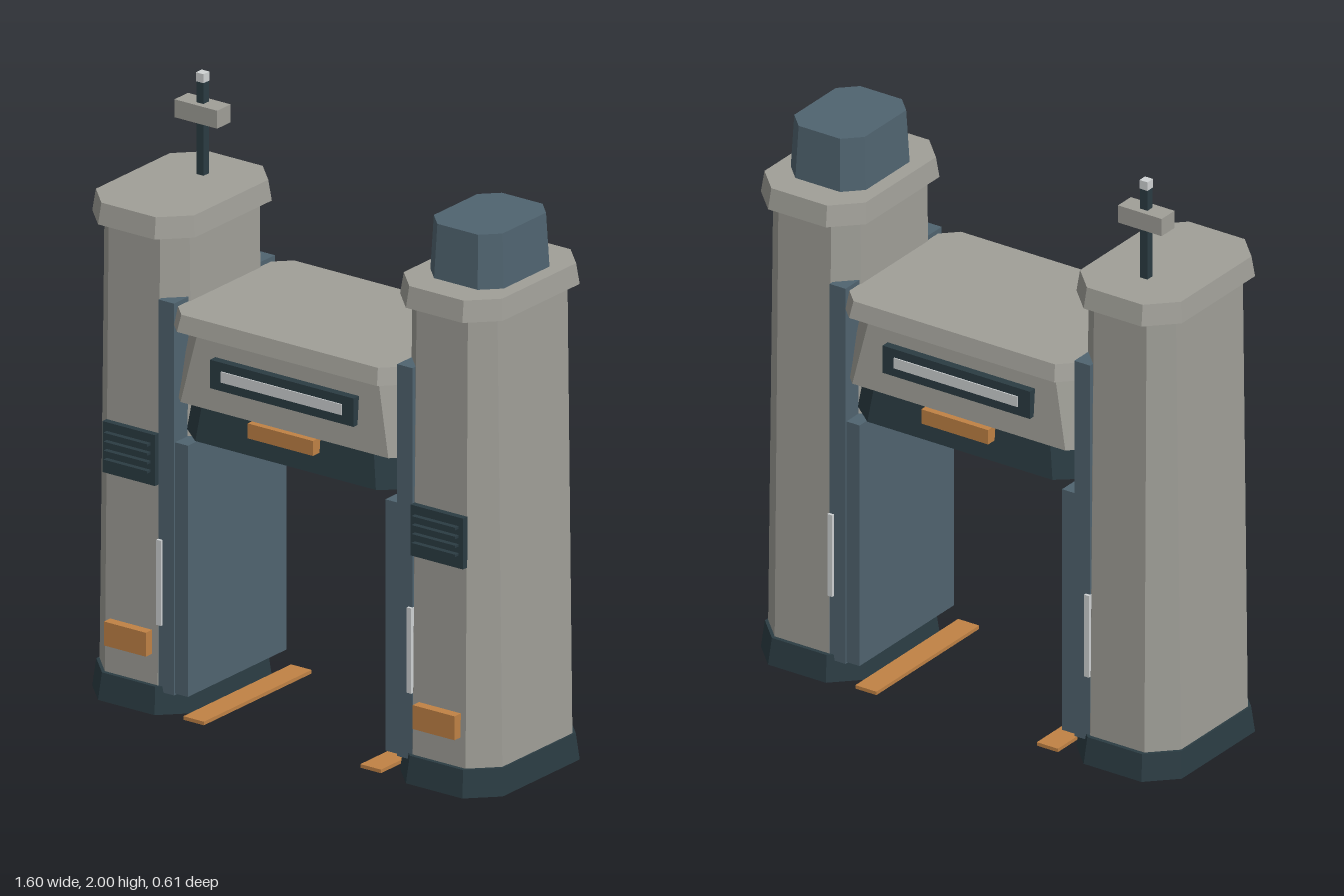
import * as THREE from 'three';

const mat = (name, color) => {
  const m = new THREE.MeshStandardMaterial({ color });
  m.name = name;
  return m;
};

// Eight-sided ring: a rectangle with cut corners, counter-clockwise from above
function ring([hx, hz, cx, cz], y) {
  const a = hx - cx, b = hz - cz;
  return [[hx, b], [hx, -b], [a, -hz], [-a, -hz], [-hx, -b], [-hx, b], [-a, hz], [a, hz]]
    .map(([x, z]) => [x, y, z]);
}

// Tapered block between two rings; each size is [halfX, halfZ, cutX, cutZ]
function taperedBlock(bottom, top, y0, y1) {
  const b = ring(bottom, y0), t = ring(top, y1), tris = [];
  for (let i = 0; i < 8; i++) {
    const j = (i + 1) % 8;
    tris.push(b[i], b[j], t[j], b[i], t[j], t[i]);
    if (i > 0 && i < 7) tris.push(t[0], t[i], t[j], b[0], b[j], b[i]);
  }
  const g = new THREE.BufferGeometry();
  g.setAttribute('position', new THREE.Float32BufferAttribute(tris.flat(), 3));
  g.computeVertexNormals();
  return g;
}

export function createModel() {
  const root = new THREE.Group();
  root.name = 'gateway';
  const grey = mat('concrete grey', 0xa09f98);
  const dark = mat('dark steel', 0x2b3c43);
  const slate = mat('slate blue', 0x506470);
  const orange = mat('signal orange', 0xc08245);
  const light = mat('pale light', 0xd0d3d4);

  const add = (parent, name, geometry, material, x = 0, y = 0, z = 0) => {
    const m = new THREE.Mesh(geometry, material);
    m.name = name;
    m.position.set(x, y, z);
    parent.add(m);
    return m;
  };
  // Box given by its limits on each axis
  const box = (parent, name, material, [x0, x1], [y0, y1], [z0, z1]) =>
    add(parent, name, new THREE.BoxGeometry(x1 - x0, y1 - y0, z1 - z0), material,
      (x0 + x1) / 2, (y0 + y1) / 2, (z0 + z1) / 2);

  for (const s of [-1, 1]) {
    const side = s > 0 ? 'left' : 'right';
    const span = (a, b) => (s > 0 ? [a, b] : [-b, -a]);

    // Tower: foot, tapered shaft, overhanging cap
    const tower = new THREE.Group();
    tower.name = side + 'Tower';
    root.add(tower);
    add(tower, 'towerFoot', taperedBlock([0.2, 0.29, 0.09, 0.09], [0.192, 0.278, 0.088, 0.088], 0, 0.09), dark, s * 0.6);
    add(tower, 'towerShaft', taperedBlock([0.185, 0.264, 0.082, 0.082], [0.166, 0.248, 0.066, 0.066], 0.09, 1.59), grey, s * 0.6);
    add(tower, 'towerCap', taperedBlock([0.2, 0.29, 0.09, 0.09], [0.192, 0.278, 0.086, 0.086], 1.59, 1.66), grey, s * 0.6);

    // Louvred vent and lamp on the front
    box(tower, 'vent', dark, span(0.498, 0.703), [0.76, 0.93], [0.25, 0.277]);
    for (let i = 0; i < 4; i++) {
      const y = 0.803 + i * 0.03;
      box(tower, 'ventSlat', dark, span(0.515, 0.686), [y, y + 0.008], [0.275, 0.295]);
    }
    box(tower, 'lamp', orange, span(0.52, 0.683), [0.19, 0.27], [0.255, 0.295]);

    // Inner jambs with light strips, front and back
    for (const f of [-1, 1]) {
      const depth = (a, b) => (f > 0 ? [a, b] : [-b, -a]);
      box(tower, 'jamb', slate, span(0.435, 0.495), [0.07, 1.38], depth(0.18, 0.262));
      box(tower, 'lightStrip', light, span(0.479, 0.497), [0.295, 0.58], depth(0.255, 0.272));
    }

    // Retracted door panel and floor strip
    box(root, side + 'Door', slate, span(0.385, 0.455), [0.075, 0.915], [-0.257, 0.257]);
    box(root, side + 'FloorStrip', orange, span(0.305, 0.385), [0.006, 0.018], [-0.28, 0.28]);
  }

  // Bridge between the towers
  const bridge = new THREE.Group();
  bridge.name = 'bridge';
  root.add(bridge);
  add(bridge, 'bridgeUnderside', taperedBlock([0.437, 0.262, 0.085, 0.07], [0.42, 0.25, 0.085, 0.07], 0.94, 1.06), dark);
  add(bridge, 'bridgeBody', taperedBlock([0.455, 0.268, 0.05, 0.05], [0.42, 0.248, 0.07, 0.06], 1.06, 1.31), grey);
  add(bridge, 'bridgeRoof', taperedBlock([0.445, 0.307, 0.055, 0.055], [0.435, 0.293, 0.052, 0.052], 1.31, 1.365), grey);
  for (const f of [-1, 1]) {
    const depth = (a, b) => (f > 0 ? [a, b] : [-b, -a]);
    box(bridge, 'windowFrame', dark, [-0.28, 0.28], [1.14, 1.235], depth(0.245, 0.282));
    box(bridge, 'windowLight', light, [-0.235, 0.235], [1.17, 1.206], depth(0.28, 0.286));
    box(bridge, 'bridgeLamp', orange, [-0.127, 0.127], [1.01, 1.06], depth(0.245, 0.29));
  }

  // Watch turret on the left tower
  add(root, 'turret', taperedBlock([0.143, 0.177, 0.058, 0.058], [0.134, 0.168, 0.055, 0.055], 1.66, 1.84), slate, 0.6);

  // Mast with crossbar on the right tower
  box(root, 'mast', dark, [-0.618, -0.59], [1.66, 1.97], [-0.126, -0.098]);
  box(root, 'mastTip', light, [-0.619, -0.589], [1.97, 2], [-0.127, -0.097]);
  box(root, 'mastCrossbar', grey, [-0.687, -0.521], [1.84, 1.9], [-0.147, -0.077]);

  return root;
}
